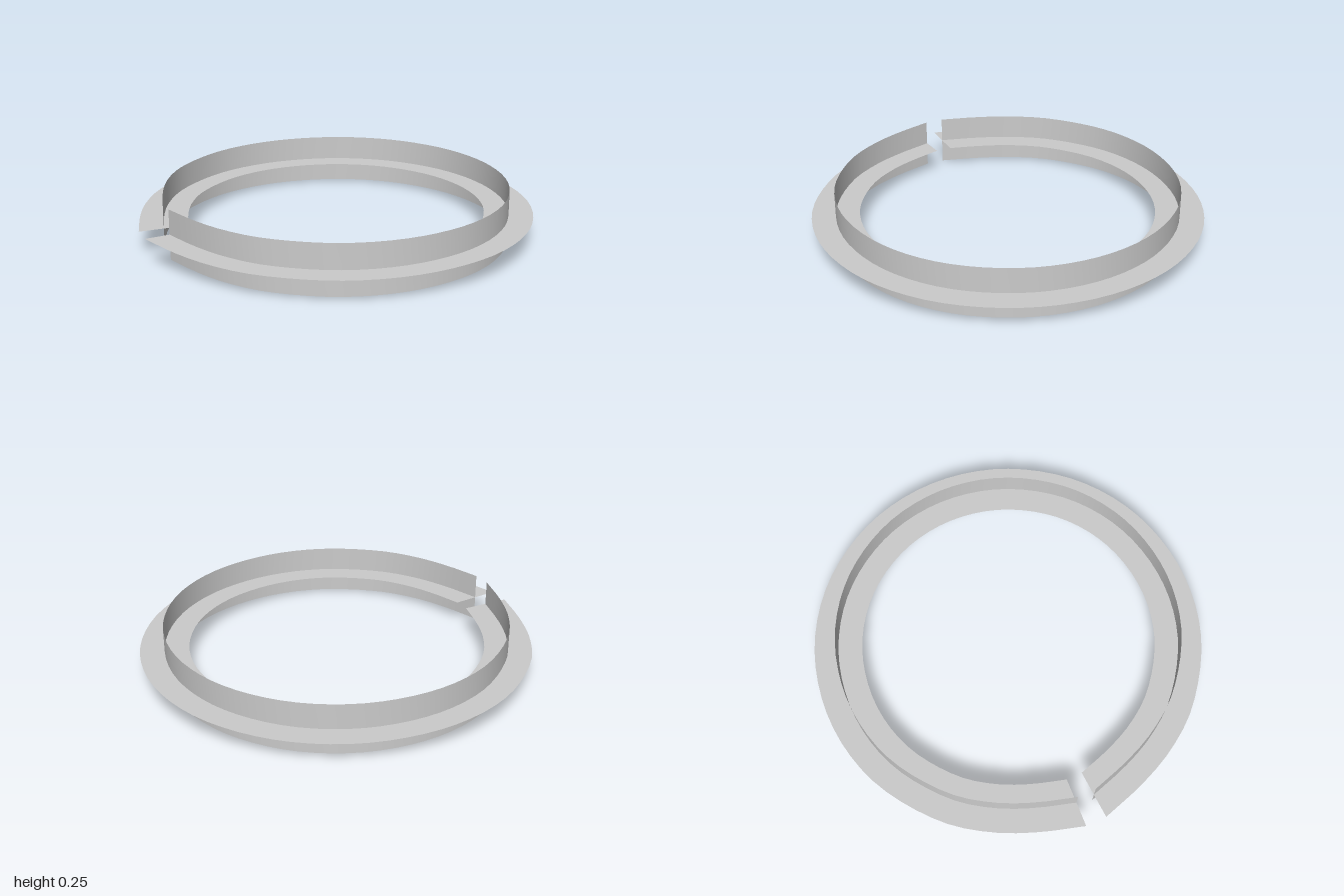
import * as THREE from 'three';

const HEIGHT = 0.253;
const SEGMENTS = 72;

// Half of the ring's centre line as [degrees from +x, radius]; it straightens towards the gap at -x
const HALF = [[0, 0.877], [22, 0.876], [45, 0.873], [67, 0.867], [90, 0.859], [112, 0.854],
  [135, 0.849], [150, 0.847], [163, 0.851], [176.95, 0.878]];

function centreLine() {
  const polar = [...HALF.slice(1).reverse().map(([a, r]) => [-a, r]), ...HALF];
  const points = polar.map(([a, r]) => {
    const t = THREE.MathUtils.degToRad(a);
    return new THREE.Vector3(r * Math.cos(t), 0, -r * Math.sin(t));
  });
  return new THREE.CatmullRomCurve3(points).getSpacedPoints(SEGMENTS);
}

// Open strip between two copies of the line, each given as [plan scale, height]
function strip(name, line, [scaleA, yA], [scaleB, yB]) {
  const positions = [];
  const index = [];
  line.forEach((p, i) => {
    positions.push(p.x * scaleA, yA, p.z * scaleA, p.x * scaleB, yB, p.z * scaleB);
    if (i < line.length - 1) {
      const a = i * 2;
      index.push(a, a + 2, a + 1, a + 1, a + 2, a + 3);
    }
  });
  const geometry = new THREE.BufferGeometry();
  geometry.setAttribute('position', new THREE.Float32BufferAttribute(positions, 3));
  geometry.setIndex(index);
  geometry.computeVertexNormals();
  const material = new THREE.MeshStandardMaterial({ color: 0xcccccc, side: THREE.DoubleSide });
  const mesh = new THREE.Mesh(geometry, material);
  mesh.name = name;
  return mesh;
}

export function createModel() {
  const group = new THREE.Group();
  group.name = 'splitRing';
  const line = centreLine();
  // Upright band, crossed at mid height by a flat flange
  group.add(strip('uprightBand', line, [1, 0], [1, HEIGHT]));
  group.add(strip('flatFlange', line, [1.139, HEIGHT / 2], [0.861, HEIGHT / 2]));
  return group;
}
